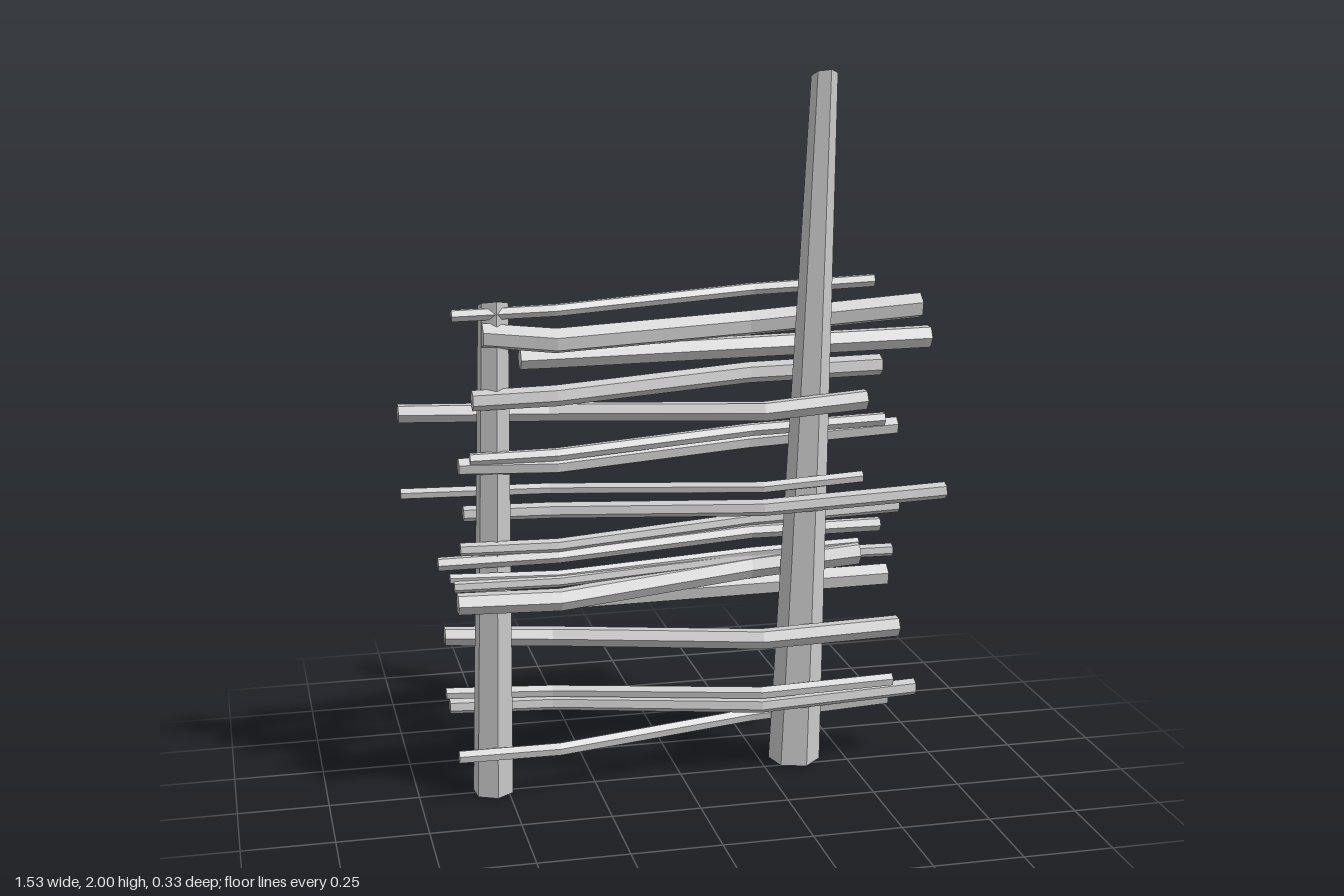
import * as THREE from 'three';

const material = new THREE.MeshStandardMaterial({ color: 0xcccccc, flatShading: true });

// Tapered, leaning post with an obliquely chopped top
function makePost(name, base, top, rBase, rTop, sides, twist, chop) {
  const geo = new THREE.CylinderGeometry(rTop, rBase, 1, sides, 1, false, twist);
  const p = geo.attributes.position;
  for (let i = 0; i < p.count; i++) {
    const t = p.getY(i) + 0.5;
    const x = p.getX(i), z = p.getZ(i);
    const cut = t > 0.5 ? chop * (z / rTop - 1) / 2 : 0;
    p.setXYZ(i,
      THREE.MathUtils.lerp(base[0], top[0], t) + x,
      THREE.MathUtils.lerp(base[1], top[1], t) + cut,
      THREE.MathUtils.lerp(base[2], top[2], t) + z);
  }
  geo.computeVertexNormals();
  const mesh = new THREE.Mesh(geo, material);
  mesh.name = name;
  return mesh;
}

// Crooked six-sided stick through four points, running from left to right
function makeStick(name, pts, r0, r1, twist) {
  const geo = new THREE.CylinderGeometry(1, 1, 3, 6, 3, false, twist);
  geo.rotateZ(-Math.PI / 2);
  const p = geo.attributes.position;
  for (let i = 0; i < p.count; i++) {
    const k = Math.round(p.getX(i) + 1.5);
    const r = THREE.MathUtils.lerp(r0, r1, k / 3);
    const [x, y, z] = pts[k];
    p.setXYZ(i, x, y + p.getY(i) * r, z + p.getZ(i) * r);
  }
  geo.computeVertexNormals();
  const mesh = new THREE.Mesh(geo, material);
  mesh.name = name;
  return mesh;
}

// Each row: left x, left y, right x, right y, sag, left z, right z, radius
// Sticks in front of the short post and behind the tall post
const frontToBack = [
  [-0.64, 1.38, 0.57, 1.405, -0.005, 0.1, -0.06, 0.018],
  [-0.56, 1.325, 0.735, 1.315, -0.03, 0.1, -0.135, 0.036],
  [-0.59, 1.15, 0.615, 1.15, 0, 0.1, -0.12, 0.029],
  [-0.6, 0.99, 0.615, 1.0, -0.005, 0.1, -0.075, 0.019],
  [-0.63, 0.97, 0.67, 0.965, -0.015, 0.09, -0.13, 0.026],
  [-0.63, 0.74, 0.67, 0.735, -0.01, 0.09, -0.095, 0.019],
  [-0.69, 0.7, 0.605, 0.69, 0, 0.08, -0.07, 0.02],
  [-0.66, 0.66, 0.545, 0.635, -0.01, 0.09, -0.08, 0.015],
  [-0.65, 0.64, 0.65, 0.605, 0, 0.1, -0.085, 0.018],
  [-0.645, 0.6, 0.54, 0.61, -0.02, 0.13, -0.06, 0.032],
  [-0.645, 0.14, 0.645, 0.15, -0.01, 0.075, -0.085, 0.02],
];
// Sticks behind the short post and in front of the tall post
const backToFront = [
  [-0.77, 1.085, 0.51, 1.095, -0.02, -0.08, 0.075, 0.028],
  [-0.77, 0.86, 0.51, 0.868, -0.01, -0.075, 0.055, 0.017],
  [-0.6, 0.795, 0.765, 0.808, -0.005, -0.07, 0.035, 0.023],
  [-0.66, 0.445, 0.615, 0.43, -0.02, -0.07, 0.085, 0.029],
  [-0.66, 0.275, 0.61, 0.26, -0.012, -0.07, 0.06, 0.019],
  [-0.65, 0.235, 0.695, 0.215, -0.005, -0.075, 0.015, 0.023],
];
// Sticks lying behind both posts
const behind = [
  [-0.44, 1.23, 0.75, 1.232, 0, -0.035, -0.09, 0.032],
  [-0.53, 0.53, 0.635, 0.53, 0, -0.06, -0.09, 0.033],
];

function addSticks(group, name, rows) {
  rows.forEach(([x0, y0, x3, y3, sag, z0, z3, r], i) => {
    const x1 = -0.36, x2 = 0.22;
    const yAt = (x, f) => THREE.MathUtils.lerp(y0, y3, (x - x0) / (x3 - x0)) + sag * f;
    const crossing = z0 * z3 < 0;
    const zAt = (x) => THREE.MathUtils.lerp(z0, z3, (x - x0) / (x3 - x0));
    const z1 = crossing ? z0 * 0.85 : zAt(x1);
    const z2 = crossing ? Math.sign(z3) * Math.max(0.065, Math.abs(z3) * 0.8) : zAt(x2);
    const pts = [[x0, y0, z0], [x1, yAt(x1, 0.8), z1], [x2, yAt(x2, 1), z2], [x3, y3, z3]];
    group.add(makeStick(name + (i + 1), pts, r * 0.95, r * 1.05, i * 0.7));
  });
}

export function createModel() {
  const model = new THREE.Group();
  model.name = 'wovenFence';

  // Upright posts
  model.add(makePost('tallPost', [0.345, 0.01, -0.025], [0.39, 2, 0.03], 0.074, 0.036, 6, 0.25, 0.03));
  model.add(makePost('shortPost', [-0.542, 0, 0], [-0.525, 1.415, 0.072], 0.058, 0.042, 6, 0.1, 0.025));

  // Woven sticks
  const sticks = new THREE.Group();
  sticks.name = 'sticks';
  addSticks(sticks, 'frontToBackStick', frontToBack);
  addSticks(sticks, 'backToFrontStick', backToFront);
  addSticks(sticks, 'rearStick', behind);
  model.add(sticks);
  return model;
}
